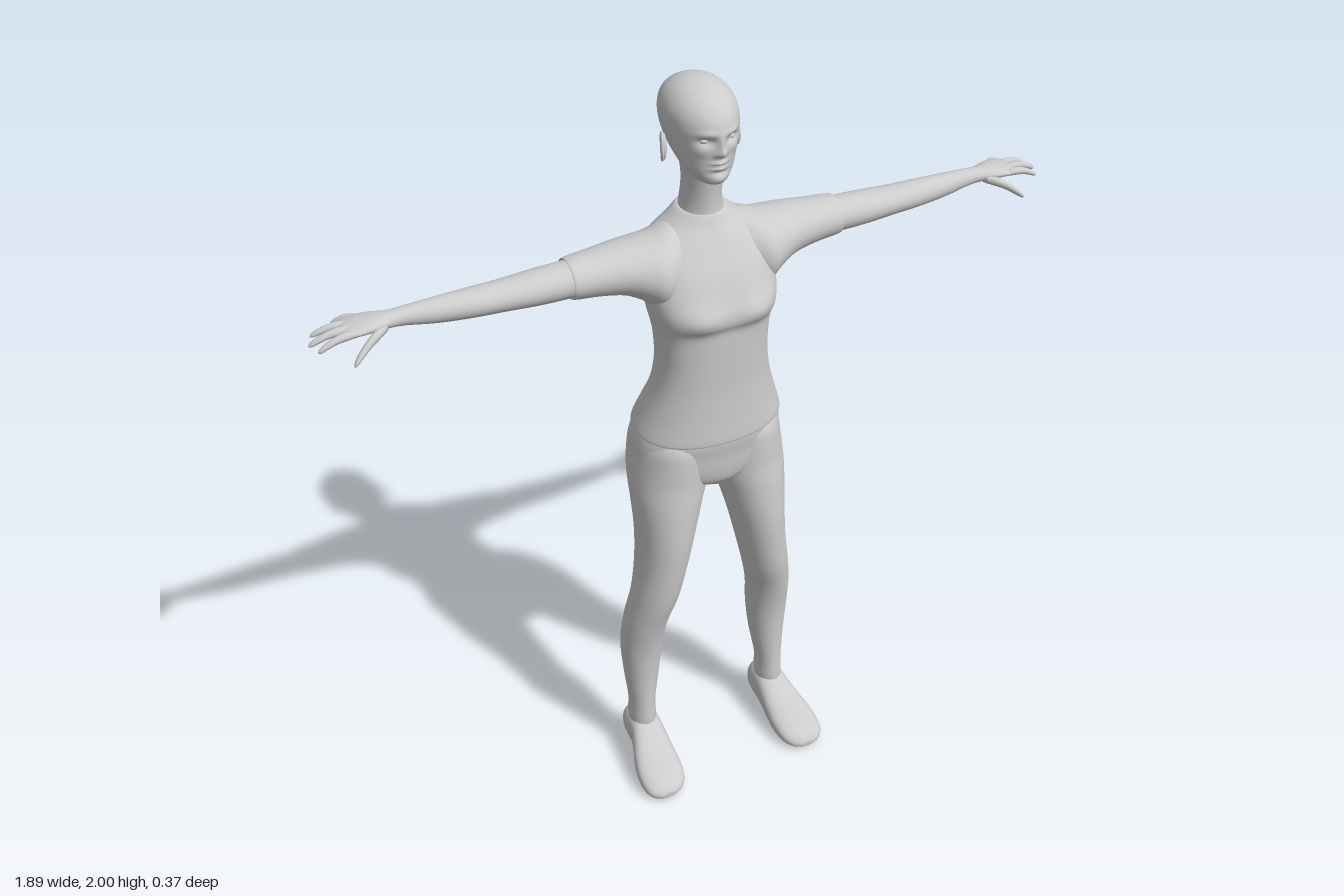
import * as THREE from 'three';

const grey = new THREE.MeshStandardMaterial({ color: 0xcccccc });
grey.name = 'light grey';

// Smooth skin through cross-sections. Row: [t, a0, a1, b0, b1, squareness].
// axis 'y': a = z, b = x; axis 'x': a = y, b = z; axis 'z': a = x, b = y.
function loft(axis, rows, seg = 32, sub = 4) {
  if (rows[0][0] > rows[rows.length - 1][0]) rows = rows.slice().reverse();
  const place = { x: (t, a, b) => [t, a, b], y: (t, a, b) => [b, t, a], z: (t, a, b) => [a, b, t] }[axis];
  const at = (i, k) => rows[Math.min(Math.max(i, 0), rows.length - 1)][k] ?? 2;
  const spline = (i, f, k) => {
    const [p, q, r, s] = [at(i - 1, k), at(i, k), at(i + 1, k), at(i + 2, k)];
    const m = (r - p) / 2, n = (s - q) / 2;
    return q + m * f + (3 * (r - q) - 2 * m - n) * f * f + (2 * (q - r) + m + n) * f ** 3;
  };
  const pos = [], idx = [], total = (rows.length - 1) * sub;
  for (let j = 0; j <= total; j++) {
    const i = Math.min(Math.floor(j / sub), rows.length - 2), f = j / sub - i;
    const [t, a0, a1, b0, b1, e] = [0, 1, 2, 3, 4, 5].map(k => spline(i, f, k));
    for (let s = 0; s < seg; s++) {
      const w = s / seg * Math.PI * 2, c = Math.cos(w), d = Math.sin(w);
      const pa = Math.sign(c) * Math.abs(c) ** (2 / e), pb = Math.sign(d) * Math.abs(d) ** (2 / e);
      pos.push(...place(t, (a0 + a1) / 2 + pa * (a1 - a0) / 2, (b0 + b1) / 2 + pb * (b1 - b0) / 2));
      const n = (s + 1) % seg, A = j * seg + s, B = j * seg + n;
      if (j < total) idx.push(A, B, B + seg, A, B + seg, A + seg);
    }
  }
  // end caps
  for (const [j, flip] of [[0, true], [total, false]]) {
    const r = rows[j ? rows.length - 1 : 0], c = pos.length / 3;
    pos.push(...place(r[0], (r[1] + r[2]) / 2, (r[3] + r[4]) / 2));
    for (let s = 0; s < seg; s++) {
      const A = j * seg + s, B = j * seg + (s + 1) % seg;
      idx.push(c, flip ? B : A, flip ? A : B);
    }
  }
  const g = new THREE.BufferGeometry();
  g.setAttribute('position', new THREE.Float32BufferAttribute(pos, 3));
  g.setIndex(idx);
  g.computeVertexNormals();
  return g;
}

// Push the front (side 1) or back (side -1) in z by soft bumps: [x, y, dz, sx, sy]
function sculpt(g, zMid, side, bumps) {
  const p = g.attributes.position;
  for (let i = 0; i < p.count; i++) {
    const x = p.getX(i), y = p.getY(i), z = p.getZ(i);
    const fade = THREE.MathUtils.smoothstep((z - zMid) * side, 0, 0.05);
    let d = 0;
    for (const [bx, by, dz, sx, sy] of bumps)
      for (const m of bx ? [1, -1] : [1])
        d += dz * Math.exp(-(((x - bx * m) / sx) ** 2) - ((y - by) / sy) ** 2);
    p.setZ(i, z + d * fade);
  }
  g.computeVertexNormals();
  return g;
}

function mirrored(g) {
  const m = g.clone().scale(-1, 1, 1), a = m.index.array;
  for (let i = 0; i < a.length; i += 3) [a[i], a[i + 1]] = [a[i + 1], a[i]];
  m.computeVertexNormals();
  return m;
}

export function createModel() {
  const model = new THREE.Group();
  const add = (name, g) => {
    const mesh = new THREE.Mesh(g, grey);
    mesh.name = name;
    model.add(mesh);
  };
  const pair = (name, g) => {
    add('left' + name, g);
    add('right' + name, mirrored(g));
  };
  const sym = rows => rows.map(([y, zb, zf, w, e]) => [y, zb, zf, -w, w, e ?? 2]);

  // head with sculpted face
  const head = loft('y', sym([
    [1.776, -0.04, 0.025, 0.018], [1.785, -0.06, 0.042, 0.036], [1.80, -0.08, 0.047, 0.049],
    [1.82, -0.105, 0.048, 0.062], [1.85, -0.145, 0.05, 0.074], [1.88, -0.175, 0.054, 0.081],
    [1.91, -0.186, 0.057, 0.085], [1.94, -0.182, 0.049, 0.083], [1.965, -0.166, 0.03, 0.072],
    [1.985, -0.136, 0, 0.053], [1.996, -0.105, -0.03, 0.03], [2.0, -0.075, -0.06, 0.006]]), 96, 7);
  add('head', sculpt(head, -0.03, 1, [
    [0, 1.867, 0.017, 0.010, 0.010], [0, 1.885, 0.010, 0.008, 0.018], [0.011, 1.862, 0.006, 0.006, 0.006],
    [0.031, 1.893, -0.012, 0.017, 0.010], [0.03, 1.912, 0.004, 0.02, 0.007],
    [0, 1.839, 0.008, 0.018, 0.005], [0, 1.826, 0.008, 0.015, 0.005], [0, 1.8325, -0.005, 0.02, 0.002],
    [0, 1.814, -0.004, 0.02, 0.006], [0, 1.797, 0.004, 0.018, 0.01], [0.045, 1.868, 0.004, 0.018, 0.015]]));
  pair('Eye', new THREE.SphereGeometry(0.012, 24, 16).scale(1.15, 0.7, 1).translate(0.031, 1.893, 0.028));

  // ears: flat shell with a raised rim
  const setEar = g => g.rotateX(-0.2).rotateY(0.35).translate(0.087, 1.85, -0.063);
  pair('Ear', setEar(new THREE.SphereGeometry(1, 20, 14).scale(0.007, 0.031, 0.018)));
  pair('EarRim', setEar(new THREE.TorusGeometry(0.016, 0.0035, 8, 28).rotateY(Math.PI / 2)
    .scale(1, 1.8, 1).translate(0.004, 0, 0)));

  add('neck', loft('y', sym([
    [1.64, -0.12, 0.02, 0.07], [1.68, -0.118, 0.007, 0.054], [1.72, -0.112, 0.006, 0.047],
    [1.76, -0.106, 0.010, 0.046], [1.80, -0.108, 0.016, 0.05], [1.84, -0.115, 0.02, 0.055]])));

  // shirt body, with bust, spine groove and a hem that dips at the front
  const shirt = loft('y', sym([
    [1.118, -0.155, 0.093, 0.188, 2.2], [1.12, -0.16, 0.1, 0.195, 2.2], [1.18, -0.138, 0.098, 0.175, 2.2],
    [1.25, -0.108, 0.096, 0.152, 2.3], [1.32, -0.098, 0.098, 0.141, 2.4], [1.39, -0.102, 0.1, 0.142, 2.5],
    [1.425, -0.108, 0.102, 0.147, 2.6], [1.45, -0.115, 0.112, 0.153, 2.6], [1.48, -0.123, 0.112, 0.158, 2.6],
    [1.52, -0.13, 0.098, 0.163, 2.5], [1.57, -0.136, 0.075, 0.165, 2.4], [1.61, -0.136, 0.052, 0.155, 2.3],
    [1.64, -0.133, 0.035, 0.128, 2.1], [1.665, -0.127, 0.02, 0.09], [1.688, -0.121, 0.009, 0.06],
    [1.69, -0.115, 0.004, 0.05]]), 72, 5);
  sculpt(shirt, 0, 1, [[0.075, 1.468, 0.010, 0.045, 0.032], [0, 1.50, -0.004, 0.03, 0.05]]);
  sculpt(shirt, -0.04, -1, [[0, 1.40, 0.014, 0.025, 0.16], [0.085, 1.55, -0.010, 0.05, 0.07]]);
  const sp = shirt.attributes.position;
  for (let i = 0; i < sp.count; i++) {
    const k = THREE.MathUtils.smoothstep(1.25 - sp.getY(i), 0, 0.13);
    sp.setY(i, sp.getY(i) - (sp.getZ(i) + 0.03) * 0.12 * k);
  }
  shirt.computeVertexNormals();
  add('shirt', shirt);

  pair('Sleeve', loft('x', [
    [0.04, 1.655, 1.50, -0.11, 0.02], [0.09, 1.665, 1.47, -0.128, 0.045], [0.135, 1.654, 1.468, -0.13, 0.065],
    [0.175, 1.649, 1.497, -0.124, 0.052], [0.22, 1.646, 1.520, -0.113, 0.036], [0.28, 1.641, 1.532, -0.101, 0.025],
    [0.343, 1.637, 1.540, -0.09, 0.02], [0.346, 1.632, 1.545, -0.085, 0.014]]
    .map(([x, t, b, z0, z1]) => [x, b, t, z0, z1]), 40));

  // forearm flowing into the palm
  pair('Arm', loft('x', [
    [0.32, 1.545, 1.631, -0.084, 0.014], [0.42, 1.545, 1.627, -0.084, 0.010], [0.50, 1.550, 1.622, -0.080, 0.005],
    [0.58, 1.554, 1.621, -0.075, 0], [0.66, 1.560, 1.619, -0.069, -0.010], [0.73, 1.571, 1.615, -0.065, -0.020],
    [0.765, 1.575, 1.612, -0.068, -0.019], [0.80, 1.578, 1.611, -0.083, -0.010], [0.84, 1.577, 1.605, -0.095, -0.010],
    [0.865, 1.579, 1.599, -0.094, -0.016], [0.872, 1.585, 1.594, -0.085, -0.025]]));

  // fingers: start and tip [x, y, z], radius
  const fingers = [
    ['Thumb', [0.775, 1.588, -0.025], [0.868, 1.539, 0.024], 0.012],
    ['IndexFinger', [0.845, 1.590, -0.021], [0.932, 1.566, -0.020], 0.0095],
    ['MiddleFinger', [0.85, 1.592, -0.042], [0.945, 1.569, -0.050], 0.0095],
    ['RingFinger', [0.845, 1.591, -0.064], [0.933, 1.574, -0.080], 0.009],
    ['LittleFinger', [0.82, 1.590, -0.083], [0.878, 1.572, -0.113], 0.0085]];
  for (const [name, a, b, r] of fingers) {
    pair(name, loft('x', [[0, 0.9], [0.25, 1.05], [0.5, 0.95], [0.75, 0.85], [0.93, 0.62], [1, 0.12]].map(([f, k]) => {
      const [x, y, z] = a.map((v, i) => v + (b[i] - v) * f), h = r * k, lift = 0.008 * Math.sin(f * Math.PI);
      return [x, y + lift - h, y + lift + h, z - h, z + h];
    }), 14, 3));
  }

  // trousers: hips and legs
  add('hips', loft('y', sym([
    [1.15, -0.135, 0.08, 0.172, 2.2], [1.10, -0.15, 0.091, 0.191, 2.2], [1.05, -0.152, 0.084, 0.199, 2.2],
    [1.0, -0.138, 0.079, 0.195, 2.1], [0.965, -0.11, 0.07, 0.14], [0.94, -0.08, 0.05, 0.05]]), 48));
  pair('Leg', loft('y', [
    [1.12, -0.135, 0.06, 0.02, 0.175], [1.08, -0.158, 0.078, 0.008, 0.193], [1.03, -0.165, 0.081, 0.002, 0.202],
    [0.98, -0.156, 0.081, 0.004, 0.208], [0.94, -0.142, 0.084, 0.014, 0.21], [0.90, -0.128, 0.087, 0.028, 0.209],
    [0.80, -0.105, 0.090, 0.056, 0.206], [0.70, -0.090, 0.083, 0.079, 0.211], [0.60, -0.080, 0.070, 0.101, 0.225],
    [0.50, -0.090, 0.042, 0.124, 0.243], [0.40, -0.101, 0.020, 0.134, 0.249], [0.30, -0.096, 0.011, 0.146, 0.243],
    [0.20, -0.081, 0.010, 0.162, 0.235], [0.14, -0.083, 0.012, 0.162, 0.237], [0.09, -0.08, 0.01, 0.165, 0.235]], 40));

  // shoes, heel to toe
  pair('Shoe', loft('z', [
    [-0.096, 0.185, 0.215, 0.045, 0.085], [-0.09, 0.165, 0.235, 0.036, 0.122, 2.4], [-0.06, 0.155, 0.244, 0.03, 0.137, 2.7],
    [-0.01, 0.153, 0.247, 0.024, 0.136, 2.6], [0.025, 0.151, 0.256, 0.017, 0.118, 2.4], [0.06, 0.149, 0.268, 0.009, 0.095, 2.4],
    [0.10, 0.148, 0.277, 0.003, 0.076, 2.5], [0.145, 0.155, 0.277, 0, 0.058, 2.4], [0.172, 0.172, 0.265, 0.001, 0.044, 2.2],
    [0.185, 0.195, 0.243, 0.008, 0.03], [0.187, 0.21, 0.23, 0.014, 0.024]], 40));

  return model;
}
